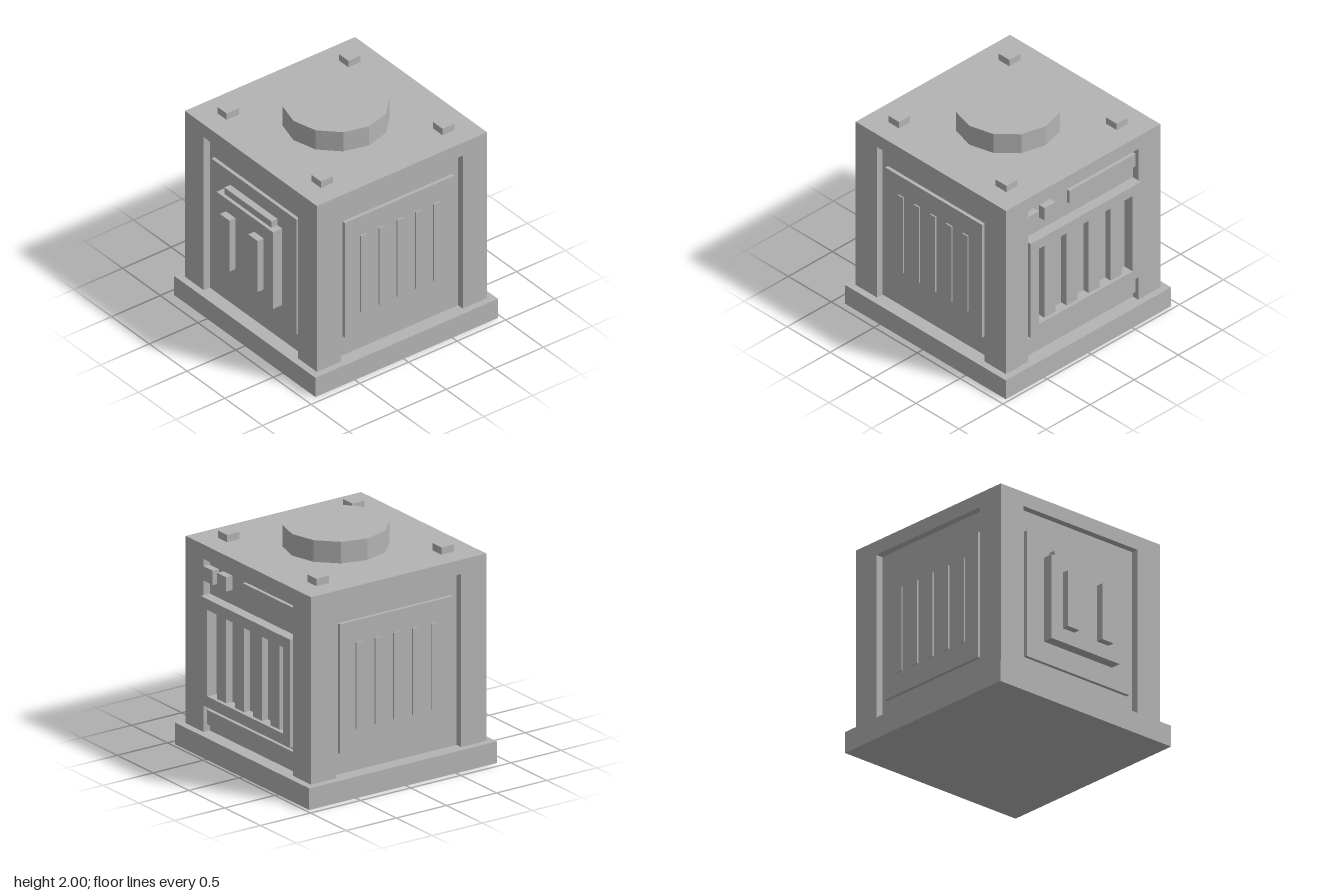
import * as THREE from 'three';

const U = 1 / 16; // building unit

export function createModel() {
  const grey = new THREE.MeshStandardMaterial({ color: 0xb4b4b4 });
  grey.name = 'grey metal';
  const model = new THREE.Group();
  model.name = 'machineBlock';

  // box given by its limits on each axis, in building units
  function box(parent, name, [x0, x1], [y0, y1], [z0, z1]) {
    const mesh = new THREE.Mesh(new THREE.BoxGeometry(x1 - x0, y1 - y0, z1 - z0), grey);
    mesh.position.set((x0 + x1) / 2, (y0 + y1) / 2, (z0 + z1) / 2);
    mesh.name = name;
    parent.add(mesh);
    return mesh;
  }
  function part(name) {
    const g = new THREE.Group();
    g.name = name;
    model.add(g);
    return g;
  }

  // base, recessed core, corner posts and lid
  box(model, 'base', [-15, 15], [0, 3], [-15, 15]);
  box(model, 'core', [-13, 13], [3, 27], [-13, 13]);
  box(model, 'lid', [-14, 14], [27, 29], [-14, 14]);
  for (const sx of [-1, 1]) for (const sz of [-1, 1]) {
    box(model, 'cornerPost', [12 * sx - 2, 12 * sx + 2], [3, 27], [12 * sz - 2, 12 * sz + 2]);
    box(model, 'topStud', [10 * sx - 1, 10 * sx + 1], [29, 30], [10 * sz - 1, 10 * sz + 1]);
  }

  // twelve-sided cap on the lid
  const capGeometry = new THREE.CylinderGeometry(7, 7, 3, 12).toNonIndexed();
  capGeometry.computeVertexNormals();
  const cap = new THREE.Mesh(capGeometry, grey);
  cap.name = 'roundCap';
  cap.position.y = 30.5;
  model.add(cap);

  // front door with lip and two handles
  const front = part('frontDoor');
  box(front, 'frontPanel', [-9, 9], [6, 24], [13, 13.5]);
  box(front, 'doorPlate', [-6, 6], [9, 21], [13, 15]);
  box(front, 'doorLip', [-5, 5], [21, 22], [13, 14.5]);
  for (const s of [-1, 1]) box(front, 'handle', [3 * s - 1, 3 * s + 1], [11, 19], [15, 16]);

  // side panels with vent slats
  for (const s of [-1, 1]) {
    const side = part(s > 0 ? 'leftVent' : 'rightVent');
    side.rotation.y = s * Math.PI / 2;
    box(side, 'sidePanel', [-9, 9], [6, 24], [13, 13.5]);
    for (let i = -2; i <= 2; i++) {
      box(side, 'ventSlat', [3 * i - 0.5, 3 * i + 0.5], [9, 21], [13.5, 13.7]);
    }
  }

  // back radiator: frame with an opening, and upright fins
  const back = part('radiator');
  const rect = (P, x, y0, y1) => {
    const p = new P();
    p.moveTo(-x, y0).lineTo(x, y0).lineTo(x, y1).lineTo(-x, y1).closePath();
    return p;
  };
  const outline = rect(THREE.Shape, 10, 7, 22);
  outline.holes.push(rect(THREE.Path, 8.5, 8.5, 20.5));
  const frame = new THREE.Mesh(
    new THREE.ExtrudeGeometry(outline, { depth: 1.5, bevelEnabled: false }), grey);
  frame.name = 'radiatorFrame';
  frame.position.z = -14.5;
  back.add(frame);
  for (const x of [-6, -2, 2, 6]) box(back, 'fin', [x - 1, x + 1], [8.5, 20.5], [-14, -13]);

  // back buttons and strips
  box(back, 'outerButton', [8, 10], [24, 26], [-14, -13]);
  box(back, 'innerButton', [5, 7], [24, 26], [-14, -13]);
  box(back, 'upperStrip', [-10, 2], [24, 26], [-13.5, -13]);
  box(back, 'lowerStrip', [-10, 10], [4, 6], [-13.5, -13]);

  model.scale.setScalar(U);
  model.position.z = -U / 2;
  const root = new THREE.Group();
  root.name = 'machine';
  root.add(model);
  return root;
}
